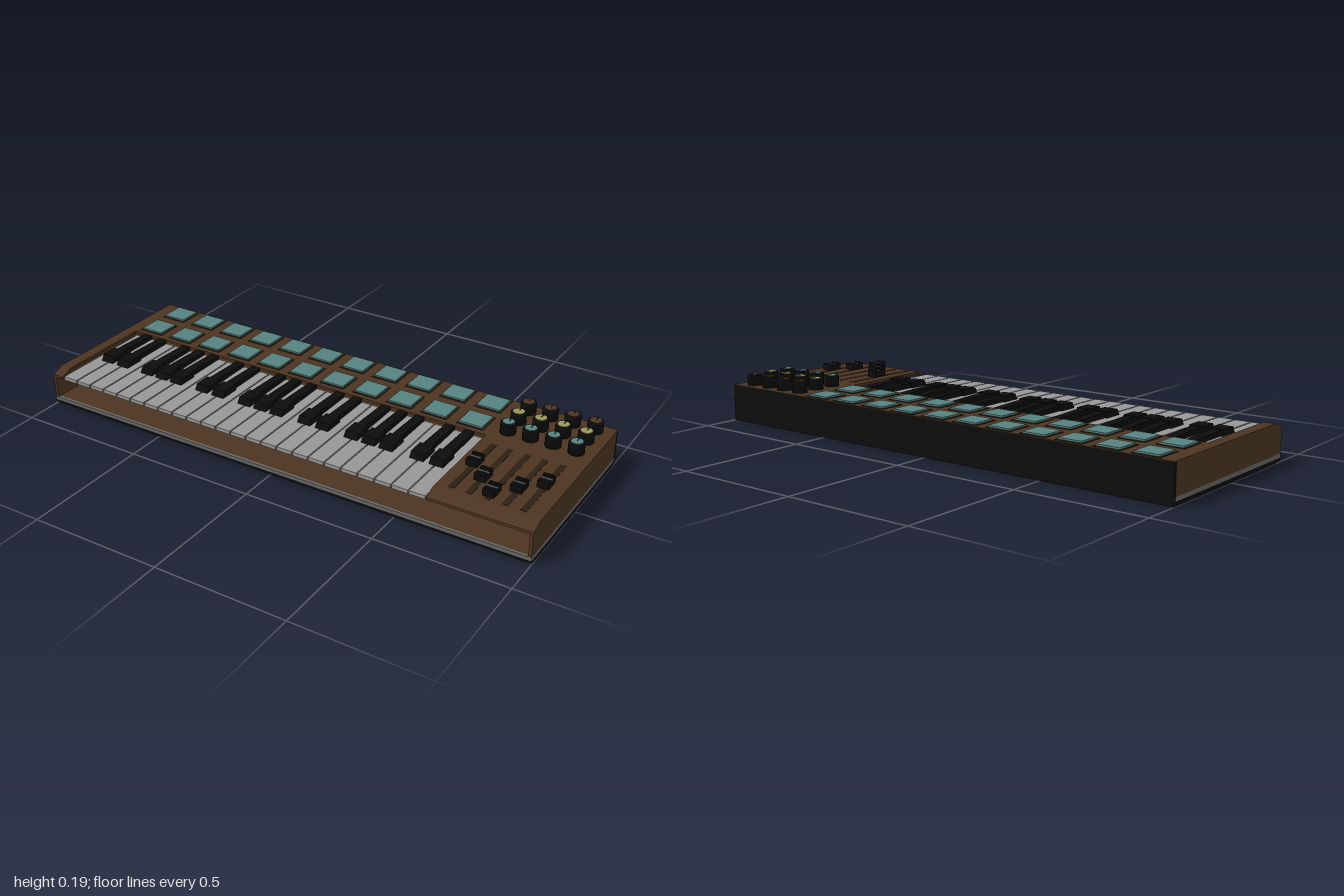
import * as THREE from 'three';

const paint = (name, color) => {
  const m = new THREE.MeshStandardMaterial({ color });
  m.name = name;
  return m;
};

export function createModel() {
  const model = new THREE.Group();
  model.name = 'keyboardController';

  const brown = paint('brown case', 0x4c3521);
  const darkBrown = paint('dark brown slots', 0x2c1e13);
  const black = paint('black', 0x0c0c0c);
  const charcoal = paint('charcoal', 0x2b2b2b);
  const grey = paint('grey trim', 0x666666);
  const ivory = paint('light grey keys', 0x969696);
  const teal = paint('teal pads', 0x568280);
  const olive = paint('olive caps', 0x96965a);

  const TOP = 0.143, SKIN = 0.01;

  function add(name, geometry, material, x = 0, y = 0, z = 0, parent = model) {
    const mesh = new THREE.Mesh(geometry, material);
    mesh.name = name;
    mesh.position.set(x, y, z);
    parent.add(mesh);
    return mesh;
  }
  // Box given by its limits on each axis
  function box(name, material, x0, x1, y0, y1, z0, z1, parent = model) {
    return add(name, new THREE.BoxGeometry(x1 - x0, y1 - y0, z1 - z0), material,
      (x0 + x1) / 2, (y0 + y1) / 2, (z0 + z1) / 2, parent);
  }
  // Side profile [z, y] extruded along x from x0 to x1
  function profile(name, material, points, x0, x1, parent = model) {
    const shape = new THREE.Shape(points.map(([z, y]) => new THREE.Vector2(-z, y)));
    const g = new THREE.ExtrudeGeometry(shape, { depth: x1 - x0, bevelEnabled: false });
    g.rotateY(Math.PI / 2);
    return add(name, g, material, x0, 0, 0, parent);
  }
  function group(name) {
    const g = new THREE.Group();
    g.name = name;
    model.add(g);
    return g;
  }

  // Hollow case, open along the front
  const caseGroup = group('case');
  box('floor', brown, -0.99, 0.99, 0, 0.03, -0.35, 0.35, caseGroup);
  box('backPanel', black, -1, 1, 0, TOP - 0.002, -0.36, -0.348, caseGroup);
  box('rearDeck', brown, -1, 1, TOP - SKIN, TOP, -0.36, -0.08, caseGroup);
  const deck = [[-0.08, TOP], [0.31, TOP], [0.36, 0.125], [0.36, 0.115], [0.31, TOP - SKIN], [-0.08, TOP - SKIN]];
  profile('controlDeck', brown, deck, 0.62, 1, caseGroup);
  profile('leftRightCheekTop', brown, deck, -1, -0.955, caseGroup);
  const wall = [[-0.36, 0.03], [-0.36, TOP], [0.31, TOP], [0.36, 0.125], [0.36, 0.03]];
  for (const s of [-1, 1]) {
    const a = s * 1, b = s * 0.988;
    const x0 = Math.min(a, b), x1 = Math.max(a, b);
    profile('sideWall', brown, wall, x0, x1, caseGroup);
    box('sideTrim', grey, x0, x1, 0.015, 0.03, -0.358, 0.36, caseGroup);
    profile('sideSkirt', black, [[-0.358, 0], [-0.358, 0.015], [0.355, 0.015], [0.355, 0.005], [0.31, 0]], x0, x1, caseGroup);
  }
  box('frontTrim', grey, -0.988, 0.988, 0.015, 0.03, 0.349, 0.36, caseGroup);
  box('frontSkirt', black, -0.988, 0.988, 0.004, 0.015, 0.349, 0.355, caseGroup);

  // White keys with a support block beneath each
  const keys = group('keys');
  const KEYS = 24, LEFT = -0.953, W = 1.57 / KEYS;
  for (let i = 0; i < KEYS; i++) {
    const x0 = LEFT + i * W + 0.0025, x1 = x0 + W - 0.005;
    box('whiteKey', ivory, x0, x1, 0.112, 0.126, -0.08, 0.355, keys);
    box('keySupport', charcoal, x0 + 0.003, x1 - 0.003, 0.04, 0.112, -0.05, 0.03, keys);
  }
  // Black keys: narrow sloping stem and wider front block
  const offsets = { 0: -0.004, 1: 0.006, 3: -0.005, 4: 0, 5: 0.005 };
  for (let i = 0; i < KEYS - 1; i++) {
    const shift = offsets[i % 7];
    if (shift === undefined) continue;
    const x = LEFT + (i + 1) * W + shift;
    profile('blackKeyStem', black,
      [[-0.08, 0.12], [-0.08, 0.141], [0.1, 0.147], [0.1, 0.12]], x - 0.018, x + 0.018, keys);
    profile('blackKeyFront', black,
      [[0.09, 0.12], [0.095, 0.149], [0.16, 0.149], [0.176, 0.12]], x - 0.027, x + 0.027, keys);
  }

  // Two rows of pads, each on a dark surround
  const pads = group('pads');
  for (const z of [-0.298, -0.153]) {
    for (let i = 0; i < 11; i++) {
      const x = -0.892 + i * 0.1438;
      box('padSurround', darkBrown, x - 0.053, x + 0.053, TOP, TOP + 0.002, z - 0.053, z + 0.053, pads);
      box('pad', teal, x - 0.046, x + 0.046, TOP, 0.151, z - 0.046, z + 0.046, pads);
    }
  }

  // Rotary knobs with coloured caps
  const knobs = group('knobs');
  const knobProfile = [[0, 0], [0.029, 0], [0.029, 0.039], [0.026, 0.043], [0, 0.043]]
    .map(([r, y]) => new THREE.Vector2(r, y));
  const knobGeometry = new THREE.LatheGeometry(knobProfile, 20);
  const capGeometry = new THREE.CylinderGeometry(0.021, 0.021, 0.002, 20);
  [[-0.309, brown], [-0.223, olive], [-0.138, teal]].forEach(([z, cap]) => {
    for (let i = 0; i < 4; i++) {
      const x = 0.678 + i * 0.085;
      add('knob', knobGeometry, black, x, TOP, z, knobs);
      add('knobCap', capGeometry, cap, x, TOP + 0.0435, z, knobs);
      box('knobMarker', black, x - 0.002, x + 0.002, TOP + 0.043, TOP + 0.0455, z - 0.021, z - 0.004, knobs);
    }
  });

  // Sliders: slot, stem and ridged cap
  const sliders = group('sliders');
  [0.113, 0.182, 0.252, 0.182, 0.113].forEach((z, i) => {
    const x = 0.673 + i * 0.0645;
    box('sliderSlot', darkBrown, x - 0.011, x + 0.011, TOP - 0.002, TOP + 0.001, -0.035, 0.29, sliders);
    box('sliderStem', black, x - 0.008, x + 0.008, TOP, 0.15, z - 0.015, z + 0.015, sliders);
    box('sliderCap', black, x - 0.021, x + 0.021, 0.147, 0.17, z - 0.029, z + 0.029, sliders);
    for (const d of [-0.023, 0.023])
      box('sliderRidge', black, x - 0.021, x + 0.021, 0.17, 0.173, z + d - 0.006, z + d + 0.006, sliders);
    box('sliderLine', grey, x - 0.021, x + 0.021, 0.17, 0.171, z - 0.003, z + 0.003, sliders);
  });

  return model;
}
